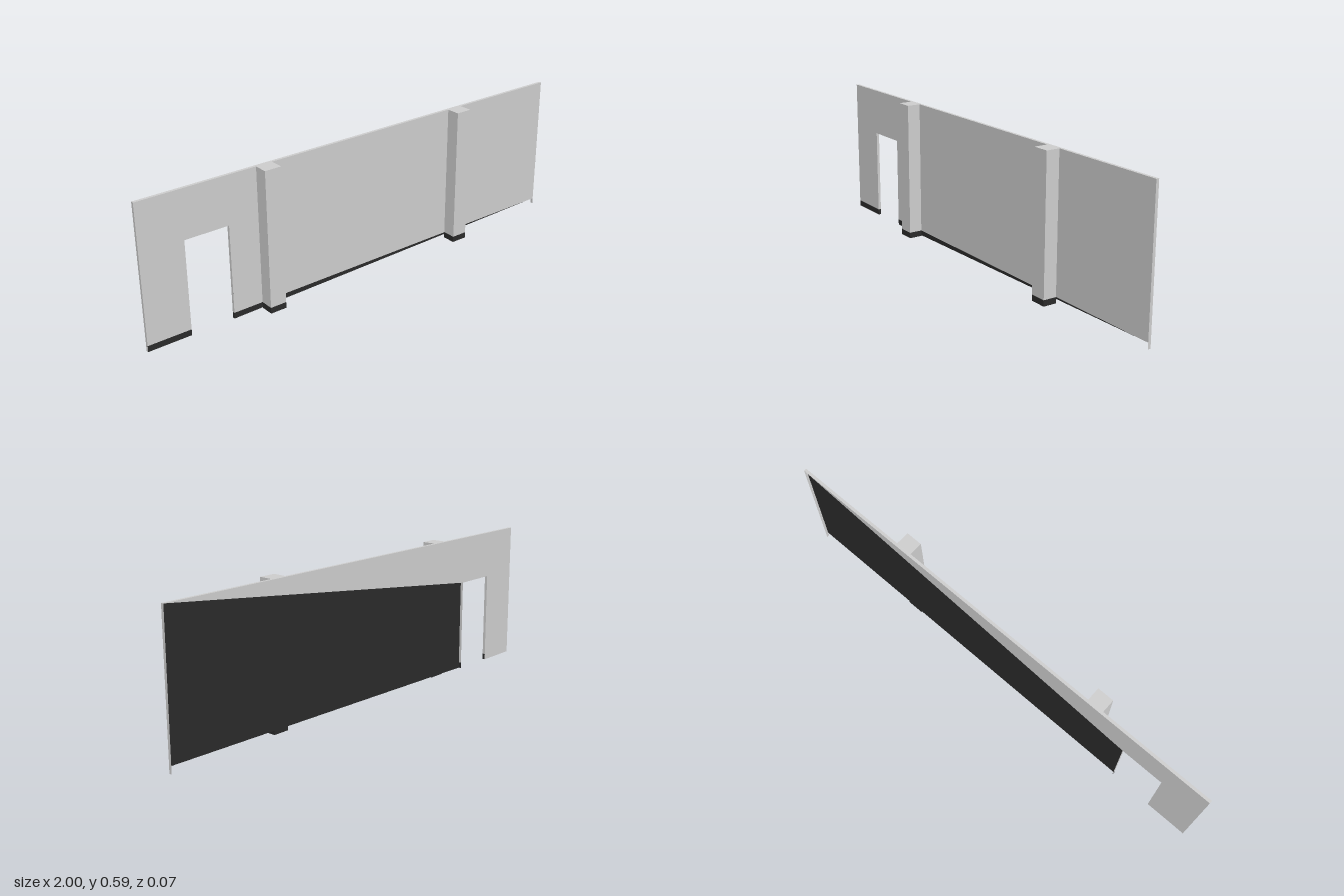
import * as THREE from 'three';

const H = 0.588, BASE = 0.025, FRONT = -0.022, BACK = -0.034, END = 0.035;
const DOOR_L = -0.82, DOOR_R = -0.635, DOOR_TOP = 0.39;

export function createModel() {
  const group = new THREE.Group();
  const plaster = new THREE.MeshStandardMaterial({ color: 0xcccccc });
  const plasterThin = new THREE.MeshStandardMaterial({ color: 0xcccccc, side: THREE.DoubleSide });
  const dark = new THREE.MeshStandardMaterial({ color: 0x2a2a2a });
  const darkThin = new THREE.MeshStandardMaterial({ color: 0x2a2a2a, side: THREE.DoubleSide });

  const add = (name, geometry, material) => {
    const mesh = new THREE.Mesh(geometry, material);
    mesh.name = name;
    group.add(mesh);
    return mesh;
  };
  // Flat upright sheet from an outline in x and y
  const sheet = (name, outline, z, material) => {
    const shape = new THREE.Shape(outline.map(([x, y]) => new THREE.Vector2(x, y)));
    add(name, new THREE.ShapeGeometry(shape).translate(0, 0, z), material);
  };
  // Narrow strip spanning the wall thickness; outward is right of travel
  const strip = (name, [x0, y0], [x1, y1], material) => {
    const g = new THREE.BufferGeometry();
    g.setAttribute('position', new THREE.Float32BufferAttribute([
      x0, y0, FRONT, x0, y0, BACK, x1, y1, BACK, x1, y1, FRONT], 3));
    g.setIndex([0, 1, 2, 0, 2, 3]);
    g.computeVertexNormals();
    add(name, g, material);
  };

  // Front face of the wall, with the doorway
  sheet('wallFront', [[-1, BASE], [DOOR_L, BASE], [DOOR_L, DOOR_TOP], [DOOR_R, DOOR_TOP],
    [DOOR_R, BASE], [1, BASE], [1, H], [-1, H]], FRONT, plaster);

  // Dark backing; its lower edge forms the tapering skirting
  sheet('darkBacking', [[-1, 0], [DOOR_L, 0], [DOOR_L, DOOR_TOP], [DOOR_R, DOOR_TOP],
    [DOOR_R, 0], [1, BASE], [1, H], [-1, H]], FRONT - 0.0006, darkThin);

  // Partial rear face: door surround and the wedge along the top
  sheet('wallBack', [[-1, 0], [DOOR_L, 0], [DOOR_L, DOOR_TOP], [DOOR_R, DOOR_TOP],
    [1, H], [-1, H]], BACK, plasterThin);

  // Edges of the wall and the doorway
  strip('wallTop', [1, H], [-1, H], plasterThin);
  strip('leftEnd', [1, 0], [1, H], plasterThin);
  strip('rightEnd', [-1, H], [-1, 0], plasterThin);
  strip('wallFoot', [-1, 0], [DOOR_L, 0], plasterThin);
  strip('doorLintel', [DOOR_L, DOOR_TOP], [DOOR_R, DOOR_TOP], plasterThin);
  strip('doorJambRight', [DOOR_L, BASE], [DOOR_L, DOOR_TOP], plasterThin);
  strip('doorJambLeft', [DOOR_R, DOOR_TOP], [DOOR_R, BASE], plasterThin);
  strip('jambSkirtingRight', [DOOR_L, 0], [DOOR_L, BASE], darkThin);
  strip('jambSkirtingLeft', [DOOR_R, BASE], [DOOR_R, 0], darkThin);

  // Two pilasters with dark plinths
  const depth = END - FRONT, zMid = (END + FRONT) / 2;
  for (const x of [-0.473, 0.475]) {
    add('pilaster', new THREE.BoxGeometry(0.07, H - BASE, depth), plaster)
      .position.set(x, (H + BASE) / 2, zMid);
    add('pilasterPlinth', new THREE.BoxGeometry(0.07, BASE, depth),
      [dark, dark, dark, plaster, dark, dark]).position.set(x, BASE / 2, zMid);
  }
  return group;
}
